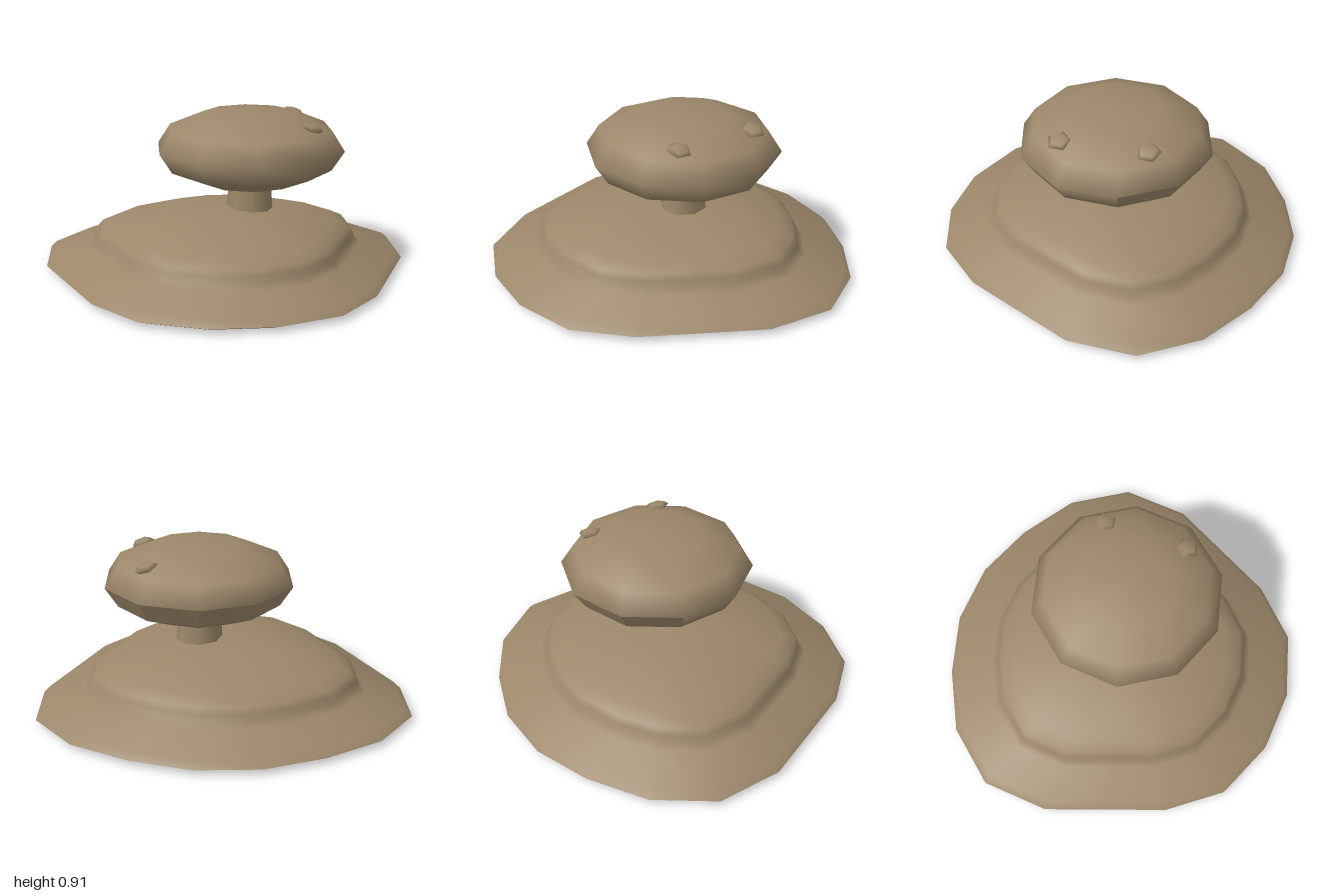
import * as THREE from 'three';
import { toCreasedNormals } from 'three/addons/utils/BufferGeometryUtils.js';

const clay = new THREE.MeshStandardMaterial({ color: 0x9c876a });
clay.name = 'clay brown';

// Base outline as x, z from back to front along the left side; mirrored for the right
const half = [[0.17, -0.98], [0.49, -0.87], [0.79, -0.69], [1, -0.4], [1, -0.03],
  [0.865, 0.28], [0.73, 0.59], [0.505, 0.85], [0.17, 0.97]];
const outline = [...half, ...half.map(([x, z]) => [-x, z]).reverse()];

// Base profile as outline scale, height, from underside centre to top centre
const profile = [[0, 0], [0.93, 0], [1, 0.03], [0.965, 0.065], [0.755, 0.125], [0.72, 0.155],
  [0.715, 0.19], [0.69, 0.22], [0.62, 0.255], [0.46, 0.305], [0.3, 0.342], [0, 0.365]];

function loftBase() {
  const n = outline.length, pos = [], index = [];
  for (const [s, y] of profile) for (const [x, z] of outline) pos.push(x * s, y, z * s);
  for (let r = 0; r < profile.length - 1; r++) {
    for (let i = 0; i < n; i++) {
      const a = r * n + i, b = r * n + (i + 1) % n;
      if (r < profile.length - 2) index.push(a, a + n, b + n);
      if (r > 0) index.push(a, b + n, b);
      if (r === profile.length - 2) continue;
    }
  }
  const geo = new THREE.BufferGeometry();
  geo.setAttribute('position', new THREE.Float32BufferAttribute(pos, 3));
  geo.setIndex(index);
  return toCreasedNormals(geo, 1.0);
}

// Squashed ten-sided head, smooth except for the faceted lower back
function headGeometry() {
  const round = new THREE.SphereGeometry(0.524, 10, 6, Math.PI / 2);
  round.scale(1, 0.415, 1);
  const geo = round.toNonIndexed();
  const p = geo.attributes.position, normal = geo.attributes.normal;
  const tri = new THREE.Triangle(), mid = new THREE.Vector3(), n = new THREE.Vector3();
  for (let i = 0; i < p.count; i += 3) {
    tri.setFromAttributeAndIndices(p, i, i + 1, i + 2);
    tri.getMidpoint(mid);
    if (mid.y > 0 || mid.z > -0.12) continue;
    tri.getNormal(n);
    for (let k = 0; k < 3; k++) normal.setXYZ(i + k, n.x, n.y, n.z);
  }
  return geo;
}

export function createModel() {
  const model = new THREE.Group();
  model.name = 'figure';
  const add = (name, geo, x, y, z) => {
    const mesh = new THREE.Mesh(geo, clay);
    mesh.name = name;
    mesh.position.set(x, y, z);
    model.add(mesh);
    return mesh;
  };

  add('base', loftBase(), 0, 0, 0);
  add('neck', new THREE.CylinderGeometry(0.115, 0.13, 0.2, 8), 0.13, 0.42, -0.025);
  add('head', headGeometry(), 0.13, 0.69, -0.027);

  // Small knob eyes lying on the head's upper left side
  for (const [name, x, z] of [['backEye', 0.405, -0.28], ['frontEye', 0.44, 0.18]]) {
    const geo = new THREE.SphereGeometry(0.066, 5, 4);
    geo.scale(1, 0.36, 1);
    const eye = add(name, geo, x, 0.834, z);
    eye.rotation.z = -0.28;
  }
  return model;
}
